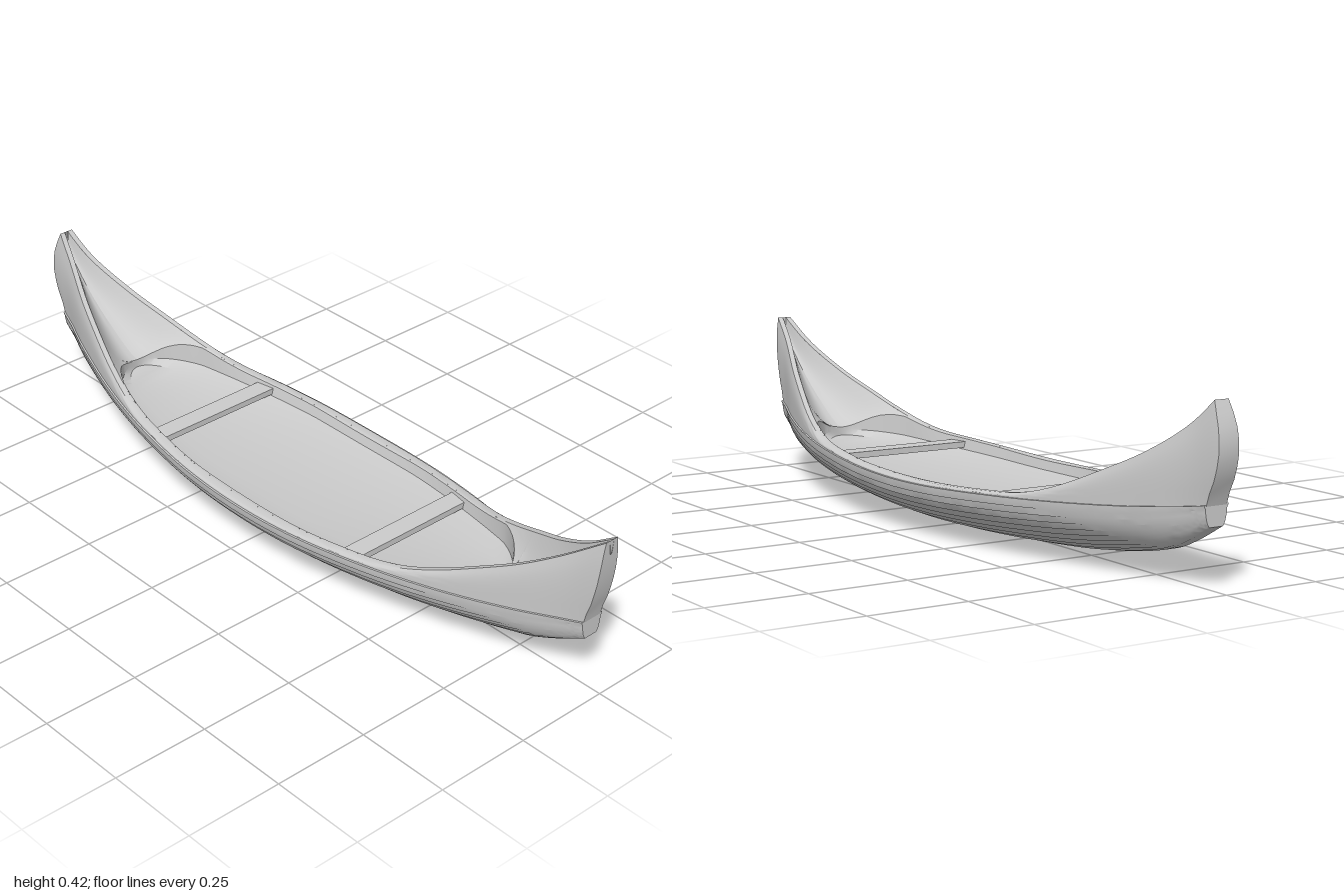
import * as THREE from 'three';
import { toCreasedNormals } from 'three/addons/utils/BufferGeometryUtils.js';

const material = new THREE.MeshStandardMaterial({ color: 0xcccccc, side: THREE.DoubleSide });

// Smooth height or width along the boat, mirrored about the middle
function along(points) {
  const slope = i => {
    if (i === 0) return 0;
    const a = points[i - 1], b = points[Math.min(i + 1, points.length - 1)];
    return (b[1] - a[1]) / (b[0] - a[0]);
  };
  return value => {
    const x = Math.abs(value);
    let i = 0;
    while (i < points.length - 2 && x > points[i + 1][0]) i++;
    const [x0, y0] = points[i], [x1, y1] = points[i + 1];
    const d = x1 - x0, t = Math.min((x - x0) / d, 1), t2 = t * t, t3 = t2 * t;
    return y0 * (2 * t3 - 3 * t2 + 1) + y1 * (3 * t2 - 2 * t3)
      + d * (slope(i) * (t3 - 2 * t2 + t) + slope(i + 1) * (t3 - t2));
  };
}

const keel = along([[0, 0.003], [0.2, 0.007], [0.4, 0.017], [0.6, 0.034], [0.8, 0.068], [0.88, 0.1], [0.96, 0.143]]);
const gunwale = along([[0, 0.128], [0.4, 0.142], [0.7, 0.16], [0.88, 0.177], [1, 0.19]]);
const beam = along([[0, 0.24], [0.2, 0.232], [0.4, 0.203], [0.6, 0.155], [0.8, 0.09], [0.92, 0.048], [1, 0.03]]);
const rim = along([[0, 0.138], [0.4, 0.153], [0.5, 0.168], [0.6, 0.2], [0.7, 0.243], [0.8, 0.29], [0.9, 0.35], [1, 0.423]]);
const valley = along([[0, 0.125], [0.4, 0.13], [0.68, 0.15], [0.8, 0.215], [0.9, 0.29], [1, 0.385]]);
const innerEdge = u => Math.max(beam(u) - 0.026, 0.006);

// Open well outline and the hollow deck height around it
const WELL = 0.68;
const wellHalf = u => Math.min(0.205 * Math.sqrt(Math.max(0, 1 - (Math.abs(u) / WELL) ** 3)), innerEdge(u) - 0.004);
const deckHeight = (u, z) => valley(u) + (rim(u) - valley(u)) * Math.abs(z / innerEdge(u)) ** 2.2;

// Raked stems: x reached at the end for heights 0..1 above the gunwale
const stemLeft = along([[0, 0.96], [0.25, 0.977], [0.5, 0.99], [0.75, 0.997], [1, 1]]);
const stemRight = along([[0, 0.96], [0.25, 0.985], [0.5, 1], [0.75, 0.995], [1, 0.972]]);
const raked = (u, v) => {
  const end = u > 0 ? stemLeft(v) : stemRight(v);
  return Math.sign(u) * (Math.abs(u) + (end - 1) * Math.abs(u) ** 12);
};

// Surface through a list of cross-sections, each a list of [x, y, z]
function loft(sections, crease = 0.6) {
  const n = sections[0].length, index = [];
  for (let i = 0; i < sections.length - 1; i++)
    for (let j = 0; j < n - 1; j++) {
      const a = i * n + j, b = a + n;
      index.push(a, b, a + 1, b, b + 1, a + 1);
    }
  const geometry = new THREE.BufferGeometry();
  geometry.setAttribute('position', new THREE.Float32BufferAttribute(sections.flat(2), 3));
  geometry.setIndex(index);
  return toCreasedNormals(geometry, crease);
}

const reversed = list => list.slice().reverse();

// Full section from a half section: -z side, then +z side
const mirrored = half => [...half.map(([x, y, z]) => [x, y, -z]), ...reversed(half)];

export function createModel() {
  const group = new THREE.Group();
  const add = (name, geometry) => {
    const mesh = new THREE.Mesh(geometry, material);
    mesh.name = name;
    group.add(mesh);
    return mesh;
  };

  const stations = [];
  for (let i = -40; i <= 40; i++) stations.push(Math.sin(i / 40 * Math.PI / 2));

  // Lapped planks of the lower hull, fading smooth towards the ends
  const PLANKS = 10;
  const hullSections = stations.map(u => {
    const x = raked(u, 0), bottom = keel(x), height = gunwale(u) - bottom, lap = 0.003 * (1 - u * u);
    const point = (v, out) => {
      const a = v * Math.PI / 2;
      return [x,
        Math.max(0, bottom + height * (1 - Math.cos(a)) ** 0.8 - out * Math.cos(a)),
        0.018 + (beam(u) - 0.018) * Math.sin(a) + out * Math.sin(a)];
    };
    const half = [[x, gunwale(u) + 0.004, beam(u) - 0.01], [x, gunwale(u) + 0.003, beam(u) + 0.003]];
    for (let j = PLANKS - 1; j >= 0; j--)
      half.push(point((j + 1) / PLANKS, j === PLANKS - 1 ? 0.003 : 0), point(j / PLANKS, lap));
    return mirrored(half);
  });
  add('plankedHull', loft(hullSections));

  // Blunt ends closing the lower hull
  for (const [name, section] of [['leftStemFoot', hullSections[80]], ['rightStemFoot', hullSections[0]]]) {
    const n = section.length / 2;
    add(name, loft([section.slice(0, n), reversed(section.slice(n))]));
  }

  // Upswept side walls with a thick rim
  const ROWS = 8;
  const wallHalf = u => {
    const half = [];
    for (let j = 0; j <= ROWS; j++) {
      const v = j / ROWS, base = gunwale(u);
      half.push([raked(u, v), base + (rim(u) - base) * v, beam(u) - 0.002 - 0.009 * v ** 5]);
    }
    return half;
  };
  for (const side of [1, -1])
    add(side > 0 ? 'frontWall' : 'backWall', loft(stations.map(u => {
      const half = wallHalf(u);
      half.push([raked(u, 1), rim(u), innerEdge(u)]);
      return (side > 0 ? half : reversed(half)).map(([x, y, z]) => [x, y, z * side]);
    })));

  // Flat stem faces at both tips
  for (const [name, u] of [['leftStem', 1], ['rightStem', -1]]) {
    const half = wallHalf(u);
    const back = half.map(([x, y, z]) => [x, y, -z]);
    add(name, loft(u > 0 ? [back, half] : [half, back]));
  }

  // Hollowed end decks and side decks, running down to the open well
  const wellStations = [];
  for (let i = -24; i <= 24; i++) wellStations.push(WELL * Math.sin(i / 24 * Math.PI / 2));
  const endStations = [];
  for (let i = 1; i <= 12; i++) endStations.push(WELL + (1 - WELL) * i / 12);
  const deckStations = [...reversed(endStations).map(u => -u), ...wellStations, ...endStations];
  for (const side of [1, -1])
    add(side > 0 ? 'frontDeck' : 'backDeck', loft(deckStations.map(u => {
      const outer = innerEdge(u), inner = wellHalf(u), section = [];
      for (let j = 0; j <= 6; j++) {
        const z = outer + (inner - outer) * (j / 6);
        section.push([raked(u, 1), deckHeight(u, z), side * z]);
      }
      return side > 0 ? section : reversed(section);
    })));

  // Shallow well: low border, gently dished floor
  add('wellFloor', loft(wellStations.map(u => {
    const w = wellHalf(u), x = raked(u, 1), floor = 0.1 + 0.06 * u * u;
    return reversed(mirrored([
      [x, deckHeight(u, w), w],
      [x, floor + 0.014, w * 0.96],
      [x, floor, w * 0.64],
    ]));
  }), 0.5));

  // Two thwarts across the well
  for (const side of [1, -1]) {
    const thwart = add(side > 0 ? 'leftThwart' : 'rightThwart', new THREE.BoxGeometry(0.052, 0.016, 0.375));
    thwart.position.set(0.36 * side, 0.133, 0);
  }

  return group;
}
